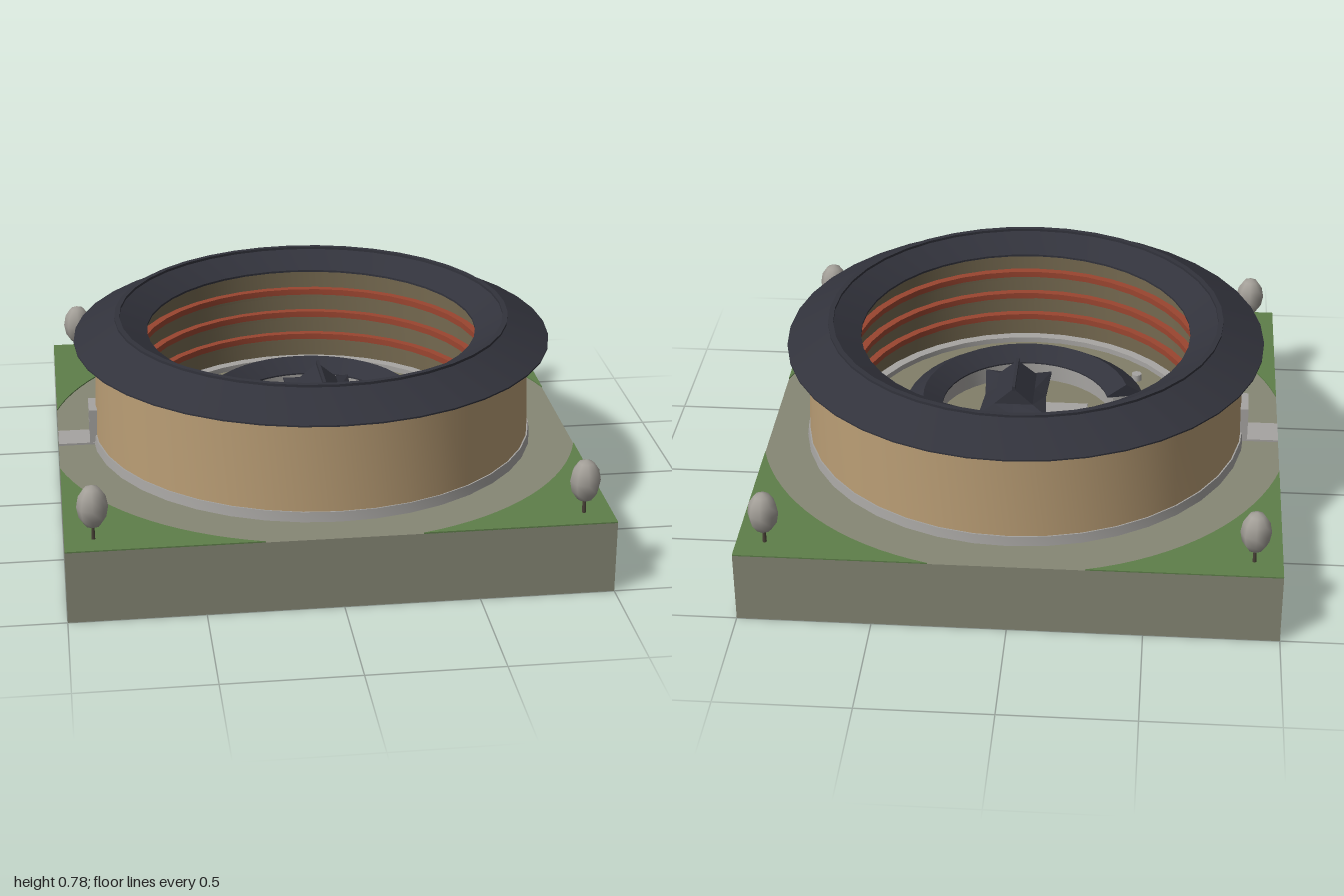
import * as THREE from 'three';
import { toCreasedNormals } from 'three/addons/utils/BufferGeometryUtils.js';

const mat = (name, color) => {
  const m = new THREE.MeshStandardMaterial({ color });
  m.name = name;
  return m;
};

export function createModel() {
  const M = {
    earth: mat('earth', 0x868775),
    court: mat('courtyard', 0x827f69),
    grass: mat('grass', 0x5e7f4a),
    stone: mat('stone', 0xa6a4a1),
    wall: mat('rammedEarthWall', 0xb89c74),
    wood: mat('wood', 0x74684f),
    rail: mat('redRail', 0x9a4530),
    tile: mat('roofTile', 0x32333c),
    foliage: mat('foliage', 0xa39f98),
    dark: mat('darkWood', 0x4a4238),
  };
  const model = new THREE.Group();
  const add = (name, geo, m, x = 0, y = 0, z = 0, parent = model) => {
    const mesh = new THREE.Mesh(geo, m);
    mesh.name = name;
    mesh.position.set(x, y, z);
    parent.add(mesh);
    return mesh;
  };
  const box = (name, m, x0, x1, y0, y1, z0, z1) =>
    add(name, new THREE.BoxGeometry(x1 - x0, y1 - y0, z1 - z0), m, (x0 + x1) / 2, (y0 + y1) / 2, (z0 + z1) / 2);

  // Closed ring from a counterclockwise (radius, height) profile, with an optional gap facing -x
  const ring = (name, m, profile, gap = 0) => {
    const pts = profile.map(([r, y]) => new THREE.Vector2(r, y));
    const start = -Math.PI / 2 + gap, length = Math.PI * 2 - 2 * gap;
    const geo = new THREE.LatheGeometry([...pts, pts[0].clone()], 40, start, length);
    add(name, toCreasedNormals(geo, 0.4), m);
    if (!gap) return;
    [start, start + length].forEach((phi, i) => {
      const cap = add(name + 'End', new THREE.ShapeGeometry(new THREE.Shape(pts)), m);
      cap.rotation.y = phi - Math.PI / 2;
      if (i) cap.scale.z = -1;
    });
  };
  const band = (r0, r1, y0, y1) => [[r0, y0], [r1, y0], [r1, y1], [r0, y1]];

  // Ground block, grass corners and courtyard
  box('groundBlock', M.earth, -1, 1, 0, 0.277, -1, 1);
  const R = 1.04, edge = Math.sqrt(R * R - 1), a0 = Math.atan2(edge, 1);
  const corner = new THREE.Shape();
  corner.moveTo(1, edge);
  corner.lineTo(1, 1);
  corner.lineTo(edge, 1);
  corner.absarc(0, 0, R, Math.PI / 2 - a0, a0, true);
  const cornerGeo = new THREE.ExtrudeGeometry(corner, { depth: 0.006, bevelEnabled: false, curveSegments: 8 });
  cornerGeo.rotateX(-Math.PI / 2);
  for (let i = 0; i < 4; i++) add('grassCorner', cornerGeo, M.grass, 0, 0.276, 0).rotation.y = i * Math.PI / 2;
  add('courtyard', new THREE.CylinderGeometry(0.7, 0.7, 0.006, 40), M.court, 0, 0.28, 0);

  // Paving
  box('outerPath', M.stone, -1, -0.85, 0.276, 0.285, -0.065, 0.065);
  box('innerPath', M.stone, -0.7, -0.23, 0.28, 0.288, -0.05, 0.05);
  box('hallTerrace', M.stone, -0.24, 0.15, 0.28, 0.294, -0.15, 0.15);

  // Outer round house: plinth, earth wall, timber inside and gallery rails
  ring('plinth', M.stone, [[0.665, 0.276], [0.865, 0.276], [0.86, 0.315], [0.665, 0.305]]);
  ring('outerWall', M.wall, [[0.76, 0.3], [0.855, 0.3], [0.84, 0.72], [0.76, 0.72]]);
  ring('innerWall', M.wood, band(0.7, 0.77, 0.29, 0.73));
  for (const y of [0.4, 0.5, 0.6]) {
    ring('galleryFloor', M.wood, band(0.68, 0.71, y - 0.025, y - 0.01));
    ring('galleryRail', M.rail, band(0.67, 0.705, y - 0.01, y + 0.014));
  }
  ring('outerRoof', M.tile, [[0.64, 0.702], [0.76, 0.715], [0.925, 0.68], [0.925, 0.686], [0.765, 0.766], [0.745, 0.766], [0.64, 0.71]]);
  ring('outerRidge', M.tile, band(0.745, 0.765, 0.76, 0.776));

  // Gate in the outer wall
  for (const s of [-1, 1]) box('gatePost', M.stone, -0.878, -0.83, 0.28, 0.41, s * 0.05 - 0.013, s * 0.05 + 0.013);
  box('gateLintel', M.stone, -0.878, -0.83, 0.39, 0.42, -0.063, 0.063);
  box('gateDoor', M.dark, -0.868, -0.83, 0.28, 0.39, -0.04, 0.04);
  box('innerDoor', M.dark, -0.705, -0.69, 0.3, 0.375, -0.05, 0.05);

  // Inner ring house, open toward the gate
  ring('innerHouseWall', M.stone, band(0.355, 0.445, 0.28, 0.375), 0.26);
  ring('innerHouseRoof', M.tile, [[0.33, 0.368], [0.475, 0.368], [0.475, 0.374], [0.405, 0.42], [0.33, 0.374]], 0.235);

  // Central hall with a curved hipped roof
  box('hallWalls', M.stone, -0.045, 0.125, 0.29, 0.42, -0.12, 0.12);
  box('hallDoor', M.dark, -0.05, -0.043, 0.294, 0.37, -0.04, 0.04);
  const loop = (x, z, y, flare) => [[-1, -1], [0, -1], [1, -1], [1, 0], [1, 1], [0, 1], [-1, 1], [-1, 0]].map(([sx, sz]) => {
    const f = sx && sz ? flare : 0;
    return [sx * (x + f), y + f, sz * (z + f)];
  });
  const loops = [loop(0, 0, 0.405, 0), loop(0.12, 0.163, 0.405, 0.012), loop(0.12, 0.163, 0.411, 0.012), loop(0.075, 0.12, 0.44, 0), loop(0, 0.112, 0.505, 0)];
  const pos = [];
  for (let k = 0; k < loops.length - 1; k++) for (let i = 0; i < 8; i++) {
    const j = (i + 1) % 8, [a, b, c, d] = [loops[k][i], loops[k][j], loops[k + 1][j], loops[k + 1][i]];
    pos.push(...a, ...c, ...b, ...a, ...d, ...c);
  }
  const roofGeo = new THREE.BufferGeometry();
  roofGeo.setAttribute('position', new THREE.Float32BufferAttribute(pos, 3));
  roofGeo.computeVertexNormals();
  add('hallRoof', roofGeo, M.tile, 0.04, 0, 0);
  box('hallRidge', M.tile, 0.034, 0.046, 0.495, 0.515, -0.115, 0.115);

  // Well
  add('well', new THREE.CylinderGeometry(0.02, 0.022, 0.03, 10), M.stone, -0.43, 0.295, 0.38);

  // Corner trees
  const crown = new THREE.SphereGeometry(1, 8, 6).scale(0.057, 0.083, 0.057);
  const trunk = new THREE.CylinderGeometry(0.006, 0.008, 0.08, 6);
  for (const x of [-0.895, 0.895]) for (const z of [-0.905, 0.905]) {
    const tree = new THREE.Group();
    tree.name = 'tree';
    tree.position.set(x, 0.28, z);
    add('trunk', trunk, M.dark, 0, 0.035, 0, tree);
    add('crown', crown, M.foliage, 0, 0.13, 0, tree);
    model.add(tree);
  }
  return model;
}
